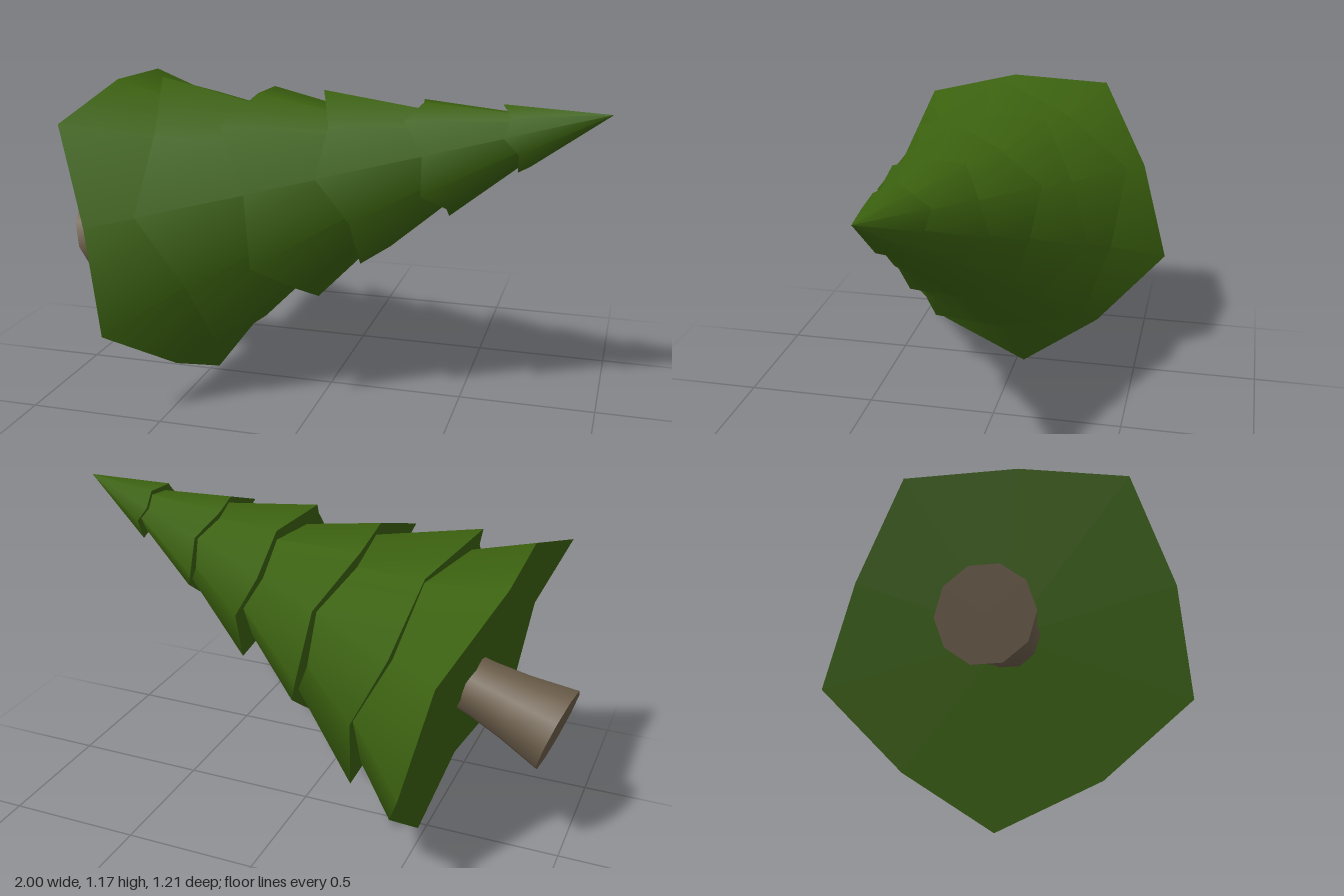
import * as THREE from 'three';

export function createModel() {
  const model = new THREE.Group();
  const needles = new THREE.MeshStandardMaterial({ color: 0x3b610f });
  needles.name = 'needle green';
  const bark = new THREE.MeshStandardMaterial({ color: 0x6b5d4a });
  bark.name = 'bark brown';

  // Leaning tree: local origin is the crown's tip, local -y runs down the trunk
  const tree = new THREE.Group();
  tree.name = 'leaningTree';
  const up = new THREE.Vector3(0.948, 0.3016, 0.0973).normalize();
  const side = new THREE.Vector3(0, 0, 1).addScaledVector(up, -up.z).normalize();
  const across = new THREE.Vector3().crossVectors(up, side);
  tree.quaternion.setFromRotationMatrix(new THREE.Matrix4().makeBasis(across, up, side));
  tree.position.set(1, 1.14, 0.195);
  model.add(tree);

  // Skirt of branches: a ten-sided cone whose rim alternates five points and five notches
  function skirt(radius, rim, apex, notch, phase) {
    const height = rim - apex;
    const geo = new THREE.ConeGeometry(radius, height, 10, 1);
    geo.translate(0, -apex - height / 2, 0);
    const pos = geo.attributes.position;
    for (let i = 0; i < pos.count; i++) {
      if (pos.getY(i) > -rim + 0.001) continue;
      const x = pos.getX(i), z = pos.getZ(i);
      const step = Math.round(Math.atan2(x, z) / (Math.PI / 5));
      const centre = Math.hypot(x, z) < 0.001;
      if (centre || step % 2 !== 0) pos.setXYZ(i, x * 0.883, -rim + notch, z * 0.883);
    }
    geo.rotateY(THREE.MathUtils.degToRad(phase));
    return geo;
  }

  // Radius, rim distance, apex distance, notch depth
  const layers = [
    [0.64, 1.765, 0.84, 0.051],
    [0.526, 1.53, 0.61, 0.05],
    [0.425, 1.235, 0.46, 0.05],
    [0.325, 0.937, 0.24, 0.047],
    [0.22, 0.641, 0.1, 0.04],
    [0.122, 0.339, 0, 0.03],
  ];
  layers.forEach(([radius, rim, apex, notch], i) => {
    const mesh = new THREE.Mesh(skirt(radius, rim, apex, notch, i % 2 ? 59 : 23), needles);
    mesh.name = 'branchLayer' + (i + 1);
    tree.add(mesh);
  });

  // Trunk, flaring toward its cut end
  const profile = [[0.158, -2.057], [0.125, -1.89], [0.108, -1.76], [0.1, -1.6]];
  const trunk = new THREE.Mesh(
    new THREE.LatheGeometry(profile.map(([r, y]) => new THREE.Vector2(r, y)), 10), bark);
  trunk.name = 'trunk';
  tree.add(trunk);

  const cut = new THREE.Mesh(new THREE.CircleGeometry(0.158, 10), bark);
  cut.name = 'trunkEnd';
  cut.rotation.x = Math.PI / 2;
  cut.rotation.z = Math.PI / 2;
  cut.position.y = -2.057;
  tree.add(cut);

  return model;
}
